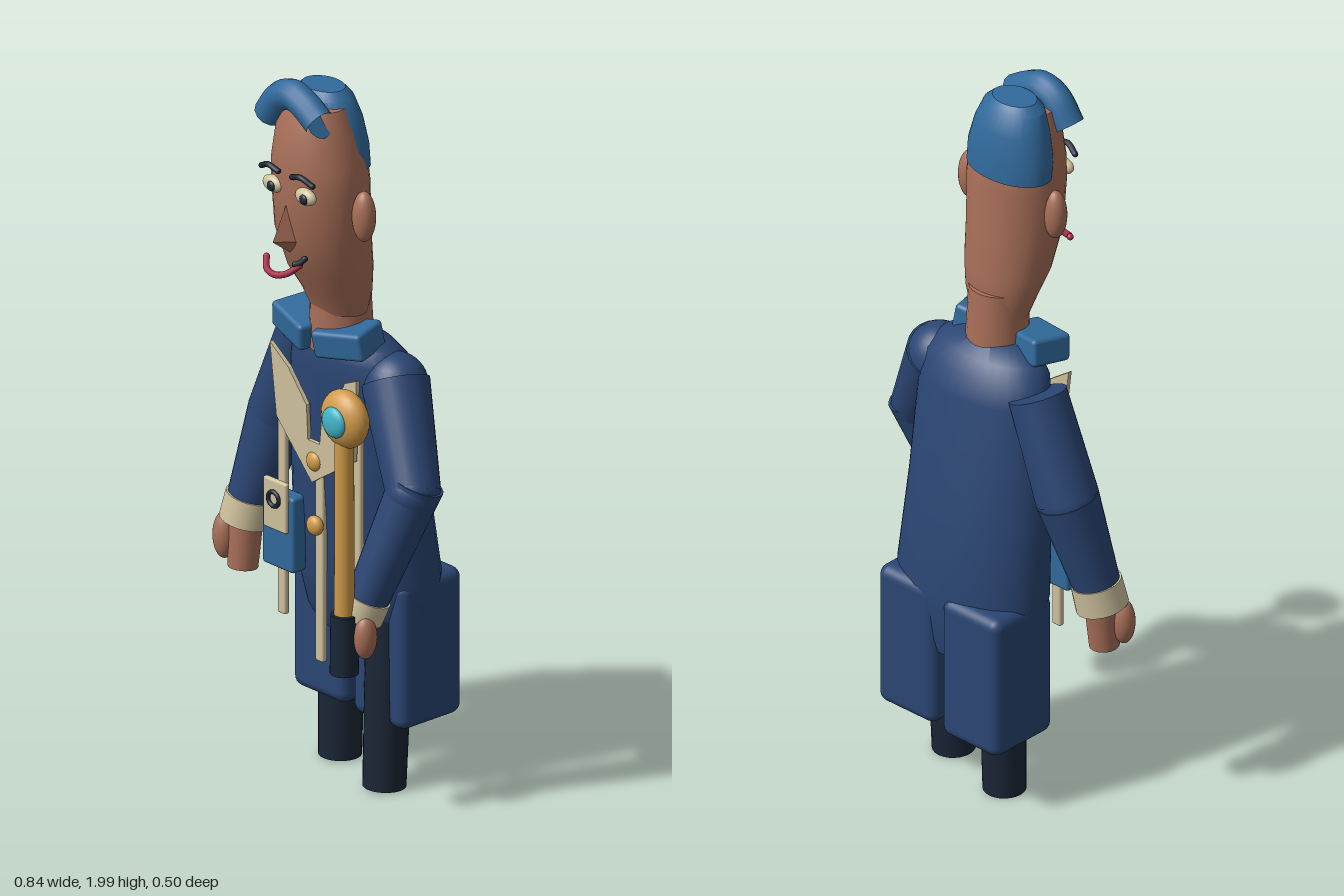
import * as THREE from 'three';
import { toCreasedNormals } from 'three/addons/utils/BufferGeometryUtils.js';
import { RoundedBoxGeometry } from 'three/addons/geometries/RoundedBoxGeometry.js';

const V = (a) => new THREE.Vector3(...a);
const mat = (name, color) => {
  const m = new THREE.MeshStandardMaterial({ color });
  m.name = name;
  return m;
};

// Closed skin through horizontal ellipses, each [y, centreX, centreZ, radiusX, radiusZ]
function loft(rings, sides = 32, crease = 0.6) {
  const pos = [], idx = [];
  for (const [y, cx, cz, rx, rz] of rings) {
    for (let i = 0; i < sides; i++) {
      const a = (i / sides) * Math.PI * 2;
      pos.push(cx + rx * Math.sin(a), y, cz + rz * Math.cos(a));
    }
  }
  for (let r = 0; r < rings.length - 1; r++) {
    for (let i = 0; i < sides; i++) {
      const j = (i + 1) % sides, a = r * sides, b = a + sides;
      idx.push(a + i, a + j, b + j, a + i, b + j, b + i);
    }
  }
  const last = rings.length - 1, n = pos.length / 3;
  for (const r of [0, last]) pos.push(rings[r][1], rings[r][0], rings[r][2]);
  for (let i = 0; i < sides; i++) {
    const j = (i + 1) % sides;
    idx.push(n, j, i, n + 1, last * sides + i, last * sides + j);
  }
  const g = new THREE.BufferGeometry();
  g.setAttribute('position', new THREE.Float32BufferAttribute(pos, 3));
  g.setIndex(idx);
  return toCreasedNormals(g, crease);
}

export function createModel() {
  const root = new THREE.Group();
  root.name = 'figure';
  const navy = mat('navy coat', 0x2b4674);
  const blue = mat('mid blue', 0x316a9c);
  const skin = mat('skin', 0xa86f58);
  const cream = mat('cream', 0xcfc19d);
  const gold = mat('gold', 0xd09a48);
  const cyan = mat('cyan gem', 0x40b4c8);
  const dark = mat('dark navy', 0x1a2636);
  const red = mat('red lips', 0xa82c4a);

  const add = (name, geo, m, p = [0, 0, 0], rot = [0, 0, 0]) => {
    const mesh = new THREE.Mesh(geo, m);
    mesh.name = name;
    mesh.position.set(...p);
    mesh.rotation.set(...rot);
    root.add(mesh);
    return mesh;
  };
  const ball = (name, m, p, s, rot) => add(name, new THREE.SphereGeometry(1, 24, 16), m, p, rot).scale.set(...s);
  const box = (name, m, p, s, r = 0.01, rot) => add(name, new RoundedBoxGeometry(...s, 3, r), m, p, rot);
  const limb = (name, m, a, b, ra, rb) => {
    const d = V(b).sub(V(a));
    const mesh = add(name, new THREE.CylinderGeometry(rb, ra, d.length(), 24), m);
    mesh.position.copy(V(a)).addScaledVector(d, 0.5);
    mesh.quaternion.setFromUnitVectors(V([0, 1, 0]), d.normalize());
  };
  const tube = (name, m, pts, r) => {
    add(name, new THREE.TubeGeometry(new THREE.CatmullRomCurve3(pts.map(V)), 20, r, 10), m);
    for (const p of [pts[0], pts[pts.length - 1]]) ball(name + 'End', m, p, [r, r, r]);
  };

  // Legs
  limb('rightLeg', dark, [-0.1, 0.01, -0.11], [-0.1, 0.5, -0.12], 0.057, 0.063);
  limb('leftLeg', dark, [0.135, 0.01, -0.05], [0.135, 0.5, -0.07], 0.057, 0.063);

  // Coat body and tails
  add('coatBody', loft([
    [0.41, 0.02, -0.115, 0.19, 0.105], [0.45, 0.02, -0.11, 0.208, 0.12],
    [0.6, 0.018, -0.1, 0.235, 0.143], [0.85, 0.022, -0.07, 0.222, 0.131],
    [1.15, 0.03, -0.042, 0.208, 0.114], [1.21, 0.03, -0.032, 0.195, 0.106],
    [1.25, 0.03, -0.02, 0.16, 0.085], [1.28, 0.03, -0.005, 0.09, 0.06]]), navy);
  box('rightCoatTail', navy, [-0.103, 0.395, -0.142], [0.203, 0.41, 0.22], 0.03);
  box('leftCoatTail', navy, [0.133, 0.395, -0.132], [0.203, 0.41, 0.214], 0.03);

  // Vest front: an open V plate
  const v = new THREE.Shape([
    [-0.155, 1.2], [-0.13, 1.0], [0.005, 0.855], [0.165, 0.96], [0.175, 1.19], [0.13, 1.17],
    [0.1, 1.1], [0.045, 1.065], [0.035, 0.97], [-0.01, 0.97], [-0.015, 1.065], [-0.085, 1.15],
  ].map(([x, y]) => new THREE.Vector2(x, y)));
  add('vest', new THREE.ExtrudeGeometry(v, { depth: 0.012, bevelEnabled: false }), cream, [0, 0, 0.073]);

  // Trim strips and buttons
  for (const [x, low] of [[-0.132, 0.44], [0.012, 0.35], [0.155, 0.44]]) {
    const top = x === 0.012 ? 0.93 : 1.05;
    box('trimStrip', cream, [x, (low + top) / 2, 0.058], [0.03, top - low, 0.018], 0.006);
  }
  for (const y of [0.735, 0.915]) ball('button', gold, [0.012, y, 0.08], [0.027, 0.027, 0.018]);

  // Pouch with tag and ring
  box('pouch', blue, [-0.132, 0.675, 0.055], [0.12, 0.21, 0.05], 0.01);
  box('pouchTag', cream, [-0.132, 0.75, 0.083], [0.088, 0.14, 0.016], 0.006);
  add('tagRing', new THREE.TorusGeometry(0.02, 0.006, 8, 24), dark, [-0.132, 0.768, 0.093]);

  // Collar
  for (const s of [-1, 1]) {
    box('collarFlap', blue, [0.012 + s * 0.083, 1.272, 0.04], [0.155, 0.076, 0.115], 0.012, [0.1, s * 0.25, s * 0.12]);
  }

  // Right arm
  limb('rightUpperArm', navy, [-0.165, 1.195, -0.055], [-0.275, 0.93, -0.06], 0.078, 0.084);
  ball('rightElbow', navy, [-0.275, 0.93, -0.06], [0.082, 0.082, 0.082]);
  limb('rightForearm', navy, [-0.275, 0.93, -0.06], [-0.34, 0.67, -0.015], 0.084, 0.062);
  limb('rightCuff', cream, [-0.336, 0.688, -0.017], [-0.349, 0.615, -0.007], 0.068, 0.07);
  limb('rightHand', skin, [-0.343, 0.63, -0.005], [-0.345, 0.49, 0.005], 0.046, 0.04);
  ball('rightThumb', skin, [-0.392, 0.57, 0.027], [0.032, 0.065, 0.03]);

  // Left arm
  ball('leftShoulder', navy, [0.2, 1.155, -0.03], [0.09, 0.09, 0.085]);
  limb('leftUpperArm', navy, [0.2, 1.165, -0.03], [0.345, 0.915, 0.04], 0.09, 0.072);
  ball('leftElbow', navy, [0.342, 0.92, 0.04], [0.072, 0.072, 0.072]);
  limb('leftForearm', navy, [0.348, 0.945, 0.03], [0.26, 0.61, 0.13], 0.073, 0.056);
  limb('leftCuff', cream, [0.265, 0.628, 0.125], [0.25, 0.573, 0.141], 0.062, 0.062);
  limb('leftHand', skin, [0.255, 0.6, 0.135], [0.235, 0.475, 0.145], 0.048, 0.04);
  ball('leftThumb', skin, [0.297, 0.535, 0.165], [0.03, 0.06, 0.032]);

  // Staff
  limb('staffShaft', gold, [0.25, 0.5, 0.195], [0.25, 1.1, 0.195], 0.027, 0.025);
  limb('staffGrip', dark, [0.25, 0.43, 0.195], [0.25, 0.595, 0.195], 0.038, 0.036);
  ball('staffHead', gold, [0.25, 1.14, 0.192], [0.079, 0.079, 0.046]);
  ball('staffGem', cyan, [0.25, 1.14, 0.232], [0.042, 0.042, 0.018]);

  // Neck, head and ears
  limb('neck', skin, [0.033, 1.23, 0.005], [0.033, 1.42, 0.01], 0.085, 0.078);
  add('head', loft([
    [1.34, 0.037, 0.018, 0.085, 0.064], [1.4, 0.037, 0.027, 0.104, 0.082],
    [1.47, 0.037, 0.05, 0.121, 0.104], [1.58, 0.037, 0.075, 0.132, 0.119],
    [1.72, 0.037, 0.083, 0.138, 0.12], [1.78, 0.035, 0.085, 0.133, 0.117],
    [1.87, 0.03, 0.09, 0.112, 0.1], [1.93, 0.028, 0.09, 0.09, 0.078]], 32, 0.8), skin);
  for (const x of [-0.105, 0.195]) ball('ear', skin, [x, 1.655, 0.076], [0.033, 0.07, 0.03]);

  // Hair
  add('hairCap', loft([
    [1.76, 0.025, 0.042, 0.131, 0.082], [1.82, 0.024, 0.046, 0.129, 0.084],
    [1.89, 0.022, 0.05, 0.112, 0.078], [1.945, 0.02, 0.055, 0.09, 0.065],
    [1.967, 0.02, 0.057, 0.065, 0.048]], 32, 0.5), blue);
  add('quiff', new THREE.TubeGeometry(new THREE.CatmullRomCurve3([
    [-0.085, 1.88, 0.152], [-0.04, 1.94, 0.152], [0.005, 1.959, 0.152], [0.055, 1.943, 0.152], [0.108, 1.91, 0.152],
  ].map(V)), 20, 0.041, 12), blue);
  for (const [x, y, a] of [[-0.085, 1.88, -0.94], [0.108, 1.91, 2.57]]) {
    add('quiffEnd', new THREE.CircleGeometry(0.041, 12), blue, [x, y, 0.152], [0, 0, 0])
      .quaternion.setFromUnitVectors(V([0, 0, 1]), V([-Math.cos(a), Math.sin(a), 0]).normalize());
  }

  // Eyes and brows
  for (const s of [-1, 1]) {
    const x = 0.042 + s * 0.062;
    ball('eyeWhite', cream, [x, 1.716, 0.196], [0.036, 0.023, 0.018]);
    ball('pupil', dark, [x + 0.007, 1.714, 0.211], [0.014, 0.014, 0.007]);
    tube('brow', dark, [[x - s * 0.035, 1.765, 0.212], [x, 1.774, 0.214], [x + s * 0.035, 1.758, 0.205]], 0.008);
  }

  // Nose: a faceted wedge, narrow at the bridge
  const nose = new THREE.BufferGeometry();
  nose.setAttribute('position', new THREE.Float32BufferAttribute([
    0.032, 1.685, 0.193, 0, 1.575, 0.185, 0.064, 1.575, 0.185, 0.032, 1.58, 0.246, 0.032, 1.535, 0.185], 3));
  nose.setIndex([0, 1, 3, 0, 3, 2, 4, 3, 1, 4, 2, 3]);
  add('nose', toCreasedNormals(nose, 0.2), skin);

  // Mouth with its dark corner
  tube('mouth', red, [[-0.042, 1.506, 0.2], [-0.015, 1.489, 0.224], [0.025, 1.485, 0.234], [0.062, 1.496, 0.226], [0.09, 1.522, 0.205]], 0.009);
  tube('mouthCorner', dark, [[0.08, 1.524, 0.212], [0.092, 1.53, 0.206], [0.102, 1.542, 0.198]], 0.008);

  return root;
}
